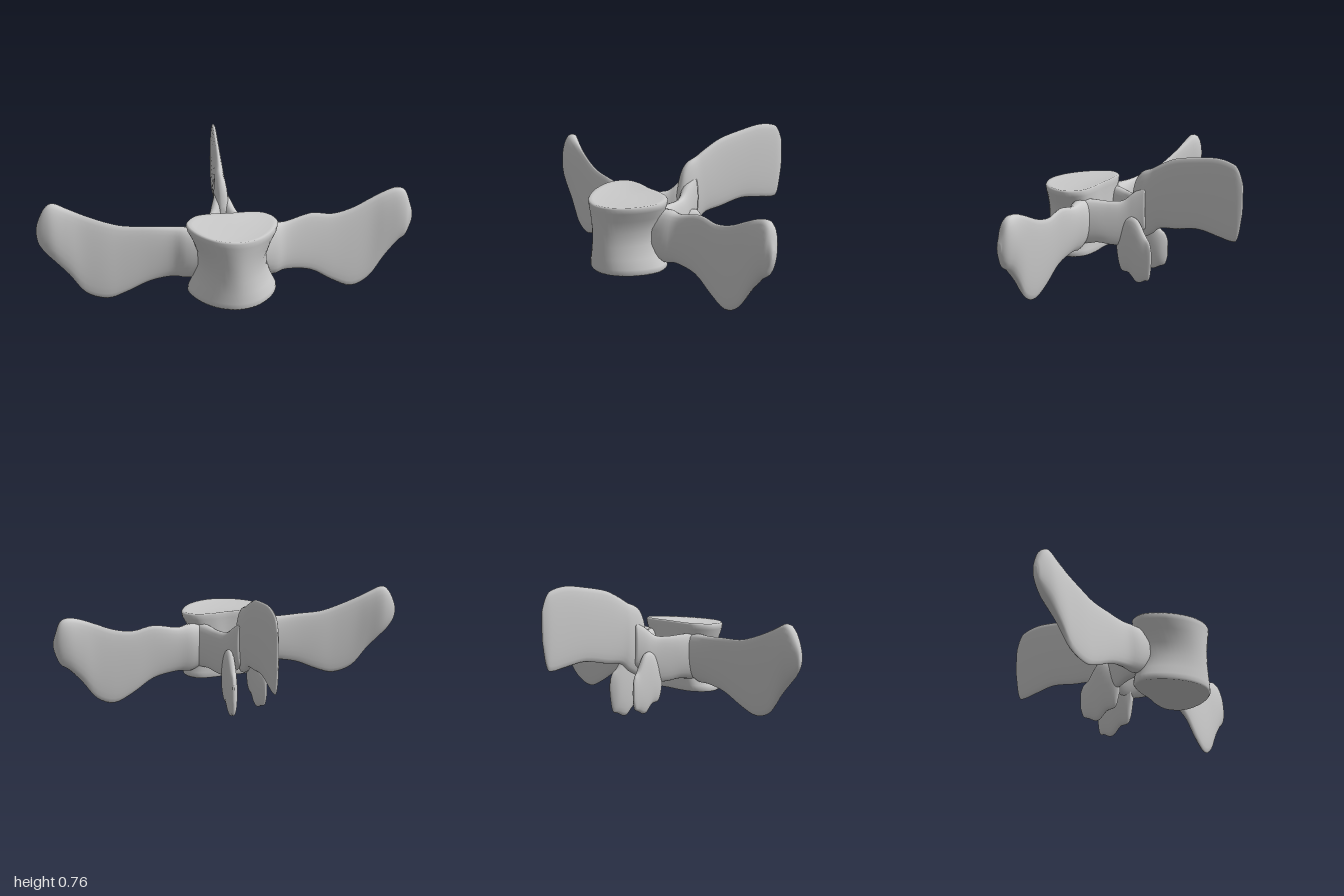
import * as THREE from 'three';

const SIDES = 24;
const material = new THREE.MeshStandardMaterial({ color: 0xcccccc });

// Skin a list of equal-length point rings and close both ends
function skin(name, rings) {
  const n = rings[0].length, pos = [], index = [];
  const put = p => { pos.push(p.x, p.y, p.z); return pos.length / 3 - 1; };
  rings.forEach(r => r.forEach(put));
  const mid = r => r.reduce((s, p) => s.add(p), new THREE.Vector3()).divideScalar(n);
  const start = put(mid(rings[0])), end = put(mid(rings[rings.length - 1]));
  const last = (rings.length - 1) * n;
  for (let j = 0; j < n; j++) {
    const k = (j + 1) % n;
    for (let i = 0; i < last; i += n) {
      index.push(i + j, i + k, i + n + j, i + k, i + n + k, i + n + j);
    }
    index.push(start, k, j, end, last + j, last + k);
  }
  const geo = new THREE.BufferGeometry();
  geo.setAttribute('position', new THREE.Float32BufferAttribute(pos, 3));
  geo.setIndex(index);
  geo.computeVertexNormals();
  const mesh = new THREE.Mesh(geo, material);
  mesh.name = name;
  return mesh;
}

// Smoothly subdivide rows of numbers
function refine(rows, steps) {
  const out = [], at = i => rows[Math.max(0, Math.min(rows.length - 1, i))];
  for (let i = 0; i < rows.length - 1; i++) {
    for (let s = 0; s < steps; s++) {
      const t = s / steps;
      out.push(rows[i].map((b, c) => {
        const a = at(i - 1)[c], d = at(i + 1)[c], e = at(i + 2)[c];
        return b + 0.5 * t * (d - a + t * (2 * a - 5 * b + 4 * d - e + t * (3 * (b - d) + e - a)));
      }));
    }
  }
  out.push(rows[rows.length - 1]);
  return out;
}

// Upright blade along a ground path; rows are [x, z, bottom, top, thickness]
function blade(name, rows, lean = 0) {
  const st = refine(rows, 4);
  const rings = st.map(([x, z, lo, hi, t], i) => {
    const a = st[Math.max(0, i - 1)], b = st[Math.min(st.length - 1, i + 1)];
    const dir = new THREE.Vector2(b[0] - a[0], b[1] - a[1]).normalize();
    return Array.from({ length: SIDES }, (_, j) => {
      const ang = j / SIDES * Math.PI * 2, c = Math.cos(ang);
      const w = Math.sign(c) * Math.abs(c) ** 0.75 * t / 2;
      const y = (lo + hi) / 2 + Math.sin(ang) * (hi - lo) / 2;
      return new THREE.Vector3(x + dir.y * w, y, z - dir.x * w + lean * (y - 0.35));
    });
  });
  return skin(name, rings);
}

// Heart-shaped drum with a narrow waist and rounded rims
function body() {
  const half = [[0.1, 0.255], [0.19, 0.275], [0.238, 0.35], [0.205, 0.47], [0.11, 0.575]];
  const outline = [[0, 0.61], ...half.slice().reverse(), [0, 0.26], ...half.map(([x, z]) => [-x, z])];
  const curve = new THREE.CatmullRomCurve3(outline.map(([x, z]) => new THREE.Vector3(x, 0, z)), true);
  const pts = curve.getPoints(56).slice(0, -1);
  // [height fraction, width scale, depth scale]
  const levels = [[0.025, 0.5, 0.5], [0.01, 0.85, 0.85], [0, 0.94, 0.95], [0.025, 0.98, 0.985],
    [0.09, 0.965, 0.985], [0.22, 0.86, 0.975], [0.4, 0.76, 0.965], [0.6, 0.76, 0.965],
    [0.78, 0.87, 0.975], [0.91, 0.98, 0.99], [0.975, 1, 1], [1, 0.96, 0.97], [0.99, 0.86, 0.87], [0.975, 0.5, 0.5]];
  return skin('vertebralBody', levels.map(([f, sx, sz]) => pts.map(p => {
    const z = 0.43 + (p.z - 0.43) * sz, k = (0.61 - z) / 0.35;
    const low = 0.12 + 0.015 * k, high = 0.493 + 0.025 * k;
    return new THREE.Vector3(p.x * sx, low + (high - low) * f, z);
  })));
}

export function createModel() {
  const group = new THREE.Group();
  group.name = 'vertebra';
  group.add(body());

  // Broad side wings, flaring to a knobbly tip
  group.add(blade('leftTransverseProcess', [
    [0.12, 0.32, 0.22, 0.45, 0.14], [0.22, 0.295, 0.18, 0.46, 0.12], [0.3, 0.278, 0.19, 0.455, 0.07],
    [0.44, 0.262, 0.17, 0.487, 0.045], [0.56, 0.25, 0.1, 0.472, 0.04], [0.67, 0.243, 0.055, 0.495, 0.04],
    [0.77, 0.238, 0.1, 0.54, 0.045], [0.85, 0.236, 0.21, 0.575, 0.07], [0.92, 0.234, 0.29, 0.592, 0.09],
    [0.965, 0.236, 0.325, 0.57, 0.08], [0.99, 0.24, 0.38, 0.5, 0.045], [1, 0.24, 0.42, 0.46, 0.02]], -0.08));
  group.add(blade('rightTransverseProcess', [
    [-0.12, 0.32, 0.22, 0.45, 0.14], [-0.22, 0.295, 0.19, 0.46, 0.12], [-0.3, 0.275, 0.19, 0.46, 0.07],
    [-0.42, 0.262, 0.165, 0.465, 0.045], [-0.55, 0.25, 0.105, 0.47, 0.04], [-0.65, 0.243, 0.075, 0.495, 0.04],
    [-0.76, 0.23, 0.11, 0.535, 0.045], [-0.84, 0.22, 0.21, 0.57, 0.07], [-0.91, 0.21, 0.285, 0.597, 0.095],
    [-0.955, 0.204, 0.33, 0.57, 0.08], [-0.99, 0.2, 0.38, 0.5, 0.045], [-1, 0.2, 0.42, 0.46, 0.02]], -0.08));

  for (const s of [1, -1]) {
    const side = s > 0 ? 'left' : 'right', lift = s > 0 ? 0 : 0.035;
    // Arch walls around the canal
    group.add(blade(side + 'ArchWall', [
      [0.155 * s, 0.3, 0.2, 0.46, 0.1], [0.125 * s, 0.22, 0.21, 0.455, 0.08], [0.1 * s, 0.155, 0.2, 0.45, 0.06],
      [0.065 * s, 0.095, 0.2, 0.455, 0.065], [0.035 * s, 0.045, 0.24, 0.5, 0.075], [0.015 * s, -0.02, 0.3, 0.54, 0.06]]));
    // Hanging joint lobes
    group.add(blade(side + 'ArticularProcess', [
      [0.07 * s, 0.13, 0.18, 0.25, 0.025], [0.074 * s, 0.105, 0.06 + lift, 0.32, 0.045],
      [0.075 * s, 0.05, 0.045 + lift, 0.37, 0.06], [0.077 * s, 0, lift, 0.36, 0.06],
      [0.082 * s, -0.05, 0.02 + lift, 0.28, 0.05], [0.09 * s, -0.08, 0.035 + lift, 0.25, 0.03],
      [0.095 * s, -0.095, 0.12, 0.21, 0.012]]));
  }

  // Tall rear fin
  group.add(blade('spinousProcess', [
    [0, 0.075, 0.27, 0.46, 0.04], [0, 0.05, 0.25, 0.56, 0.065], [0, 0.01, 0.24, 0.615, 0.075],
    [0, -0.05, 0.27, 0.64, 0.07], [0.004, -0.1, 0.31, 0.67, 0.06], [0.01, -0.2, 0.325, 0.717, 0.05],
    [0.02, -0.34, 0.35, 0.745, 0.045], [0.03, -0.46, 0.335, 0.76, 0.042], [0.037, -0.55, 0.322, 0.745, 0.038],
    [0.04, -0.585, 0.345, 0.715, 0.03], [0.042, -0.61, 0.48, 0.65, 0.012]]));
  return group;
}
